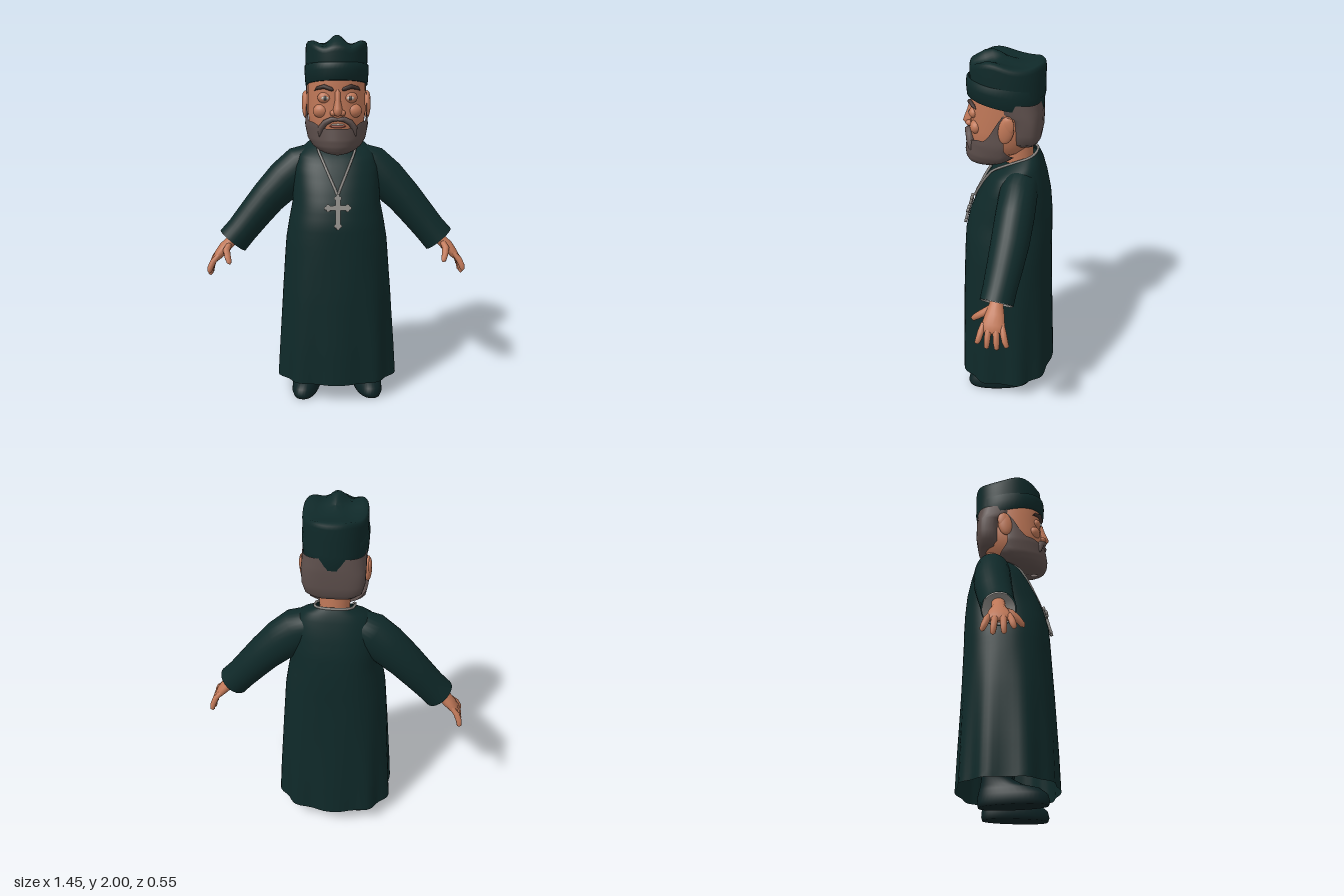
import * as THREE from 'three';

const mat = (name, color, side = THREE.FrontSide) => {
  const m = new THREE.MeshStandardMaterial({ color, side });
  m.name = name;
  return m;
};
const V = (x, y, z) => new THREE.Vector3(x, y, z);
const mix = THREE.MathUtils.lerp;
const DEG = Math.PI / 180;

// Smooth skin over rows of points (rows rise, points run from +z towards +x)
function skin(rows, closed = true) {
  const n = rows[0].length, idx = [];
  for (let i = 0; i < rows.length - 1; i++)
    for (let j = 0; j < (closed ? n : n - 1); j++) {
      const a = i * n + j, b = i * n + (j + 1) % n;
      idx.push(a, b, b + n, a, b + n, a + n);
    }
  const g = new THREE.BufferGeometry().setFromPoints(rows.flat());
  g.setIndex(idx);
  g.computeVertexNormals();
  return g;
}

// Point on a rounded-box ring: [y, half width, front z, back z, tilt]
function ringPoint([y, rx, zf, zb, tilt = 0], a, p = 2.2, s = 1) {
  const pw = v => Math.sign(v) * Math.pow(Math.abs(v), 2 / p);
  const rz = (zf - zb) / 2, dz = rz * pw(Math.cos(a)) * s;
  return V(rx * pw(Math.sin(a)) * s, y - tilt * dz, (zf + zb) / 2 + dz);
}
const loft = (rings, p = 2.2, n = 40) => skin(rings.map(r =>
  Array.from({ length: n }, (_, j) => ringPoint(r, j / n * 2 * Math.PI, p))));

// Key rows interpolated on their first value
function at(keys, y) {
  let i = 0;
  while (i < keys.length - 2 && y > keys[i + 1][0]) i++;
  const t = THREE.MathUtils.clamp((y - keys[i][0]) / (keys[i + 1][0] - keys[i][0]), 0, 1);
  return keys[i].map((v, k) => mix(v, keys[i + 1][k], t));
}

// Limb along points [x, y, z, radius across, radius in z]
function limb(path, s = 1, n = 16) {
  const pts = path.map(p => V(p[0] * s, p[1], p[2]));
  return skin(path.map((p, i) => {
    const T = pts[Math.min(i + 1, pts.length - 1)].clone().sub(pts[Math.max(i - 1, 0)]).normalize();
    const B = V(0, 0, 1).addScaledVector(T, -T.z).normalize(), N = B.clone().cross(T);
    return Array.from({ length: n }, (_, j) => {
      const a = j / n * 2 * Math.PI;
      return pts[i].clone().addScaledVector(N, p[3] * Math.cos(a)).addScaledVector(B, (p[4] ?? p[3]) * Math.sin(a));
    });
  }));
}

export function createModel() {
  const cloth = mat('dark green cloth', 0x0f2929, THREE.DoubleSide);
  const shoeMat = mat('shoe leather', 0x0d2224);
  const flesh = mat('skin', 0xc07858);
  const hairMat = mat('grey brown hair', 0x5c4e4b, THREE.DoubleSide);
  const browMat = mat('dark brow', 0x40322e);
  const silver = mat('silver', 0x8c8985, THREE.DoubleSide);
  const white = mat('eye white', 0xc9bfb4);
  const iris = mat('iris', 0x4b4a48);
  const lipMat = mat('lip', 0xa85c4c);

  const model = new THREE.Group();
  const add = (name, geo, m, parent = model) => {
    const mesh = new THREE.Mesh(geo, m);
    mesh.name = name;
    parent.add(mesh);
    return mesh;
  };
  const ball = (name, m, x, y, z, sx, sy, sz) => {
    const b = add(name, new THREE.SphereGeometry(1, 20, 14), m);
    b.position.set(x, y, z);
    b.scale.set(sx, sy, sz);
    return b;
  };

  // Robe with soft folds towards the hem
  const robe = [[0.11, .335, .268, -.262, 0], [0.3, .325, .265, -.257, 0], [0.6, .305, .255, -.247, 0],
    [0.9, .28, .24, -.24, 0], [1.0, .263, .234, -.24, 0], [1.1, .243, .212, -.237, 0], [1.2, .238, .175, -.228, .03],
    [1.3, .23, .13, -.205, .1], [1.38, .2, .088, -.178, .2], [1.415, .15, .045, -.163, .3], [1.435, .1, .02, -.15, .35]];
  const robeRows = [];
  for (let i = 0; i <= 40; i++) {
    const y = mix(.11, 1.435, i / 40), r = at(robe, y), f = .035 * Math.max(0, 1 - y / .8);
    robeRows.push(Array.from({ length: 72 }, (_, j) => {
      const a = j / 72 * 2 * Math.PI;
      return ringPoint(r, a, 2.4, 1 + f * Math.cos(10 * a));
    }));
  }
  add('robe', skin(robeRows), cloth);
  const frontZ = (x, y) => {
    let z = 0;
    for (let k = 0; k < 8; k++) {
      const [, rx, zf, zb, t] = at(robe, y), c = (zf + zb) / 2;
      const r = at(robe, y + t * (z - c));
      z = (r[2] + r[3]) / 2 + (r[2] - r[3]) / 2 * Math.pow(1 - Math.min(.999, Math.abs(x / r[1])) ** 2.4, 1 / 2.4);
    }
    return z;
  };

  // Chain around the collar and down the chest
  const strand = s => Array.from({ length: 9 }, (_, i) => {
    const x = .1 * i / 8, y = mix(1.17, 1.39, i / 8);
    return V(x * s, y, frontZ(x, y) + .006);
  });
  const collar = Array.from({ length: 9 }, (_, i) => ringPoint(robe[10], (90 + i * 22.5) * DEG, 2.4, 1.03));
  const loop = [...strand(1), ...collar, ...strand(-1).slice(1).reverse()];
  add('neckChain', new THREE.TubeGeometry(new THREE.CatmullRomCurve3(loop, true), 140, .007, 6, true), silver);

  // Pendant cross with rounded trefoil tips
  const cross = new THREE.Group();
  cross.name = 'pendantCross';
  cross.position.set(0, 1.105, frontZ(0, 1.105) + .01);
  cross.rotation.x = -.25;
  add('crossUpright', new THREE.BoxGeometry(.026, .16, .014), silver, cross).position.y = -.022;
  add('crossBar', new THREE.BoxGeometry(.115, .026, .014), silver, cross);
  for (const [x, y] of [[0, .052], [0, -.096], [.052, 0], [-.052, 0]])
    for (const [dx, dy] of [[1, 0], [-1, 0], [0, 1], [0, -1]]) {
      const tip = add('crossTip', new THREE.CylinderGeometry(.01, .01, .015, 10), silver, cross);
      tip.rotation.x = Math.PI / 2;
      tip.position.set(x + dx * .011, y + dy * .011, 0);
    }
  model.add(cross);

  for (const s of [1, -1]) {
    const side = s > 0 ? 'left' : 'right';
    // Sleeve and its lining
    add(side + 'Sleeve', limb([[.06, 1.345, -.075, .05, .07], [.12, 1.325, -.075, .09, .095], [.19, 1.285, -.075, .117, .1],
      [.28, 1.21, -.07, .113, .102], [.38, 1.11, -.06, .1, .1], [.46, 1.015, -.045, .093, .094],
      [.53, .93, -.03, .088, .088], [.582, .87, -.02, .09, .088]], s, 28), cloth);
    add(side + 'CuffLining', limb([[.53, .93, -.03, 0, 0], [.535, .925, -.03, .07, .07], [.584, .868, -.02, .084, .083]], s, 28), silver);
    // Hand with four fingers and a thumb
    add(side + 'Hand', limb([[.53, .93, -.025, .028, .034], [.59, .87, -.02, .03, .036], [.63, .83, -.018, .033, .05],
      [.665, .79, -.015, .026, .06], [.685, .765, -.015, .018, .055], [.692, .755, -.015, 0, 0]], s), flesh);
    [[.035, .06, .70], [.005, .012, .675], [-.03, -.04, .672], [-.06, -.09, .69]].forEach(([z0, z1, y]) =>
      add(side + 'Finger', limb([[.66, .8, z0, .012], [.69, .765, mix(z0, z1, .35), .017], [.706, mix(.765, y, .5), mix(z0, z1, .7), .016],
        [.71, y + .012, z1, .013], [.71, y, z1, 0]], s, 10), flesh));
    add(side + 'Thumb', limb([[.6, .86, 0, .015], [.615, .83, .04, .02], [.605, .8, .075, .018], [.595, .775, .098, .014],
      [.59, .765, .105, 0]], s, 10), flesh);
    // Shoe and lower leg
    const shoe = add(side + 'Shoe', loft([[0, 0, .02, .02], [0, .07, .18, -.17], [.02, .078, .187, -.175], [.055, .076, .178, -.172],
      [.085, .064, .14, -.166], [.105, .056, .06, -.16], [.14, .054, 0, -.155], [.5, .065, .01, -.165]], 2.3), shoeMat);
    shoe.position.set(.17 * s, 0, .03);
    shoe.rotation.y = .17 * s;
    // Ear, eye and brow
    ball(side + 'Ear', flesh, .166 * s, 1.632, -.008, .02, .075, .04).rotation.x = -.15;
    ball(side + 'EarLobeRim', flesh, .174 * s, 1.655, -.02, .012, .045, .03);
    ball(side + 'EyeSocket', flesh, .066 * s, 1.682, .172, .038, .03, .026);
    ball(side + 'Eye', white, .066 * s, 1.681, .182, .025, .015, .019);
    ball(side + 'Iris', iris, .066 * s, 1.681, .194, .011, .012, .009);
    ball(side + 'Cheek', flesh, .083 * s, 1.612, .158, .045, .038, .035);
    add(side + 'Brow', limb([[.02, 1.72, .204, 0, 0], [.03, 1.726, .203, .01, .01], [.07, 1.74, .192, .012, .012],
      [.105, 1.73, .168, .009, .01], [.122, 1.715, .15, 0, 0]], s, 10), browMat);
    // Half of the moustache
    add(side + 'Moustache', limb([[0, 1.572, .21, .008, .012], [.03, 1.574, .213, .014, .018], [.065, 1.556, .2, .016, .02],
      [.088, 1.525, .19, .016, .022], [.095, 1.49, .19, .006, .01], [.096, 1.48, .19, 0, 0]], s, 12), hairMat);
    ball(side + 'Nostril', flesh, .024 * s, 1.605, .207, .017, .016, .02);
  }

  // Neck and head
  add('neck', limb([[0, 1.34, -.05, .085, .082], [0, 1.43, -.05, .08, .08], [0, 1.58, -.04, .085, .085]], 1, 28), flesh);
  add('head', loft([[1.42, 0, .1, .06], [1.425, .06, .14, 0], [1.47, .115, .185, -.08], [1.53, .145, .202, -.14], [1.6, .155, .203, -.16],
    [1.68, .154, .196, -.165], [1.74, .155, .2, -.165], [1.8, .15, .195, -.16]]), flesh);
  add('nose', loft([[1.588, 0, .21, .2], [1.592, .018, .23, .17], [1.61, .026, .245, .16], [1.63, .023, .238, .16],
    [1.67, .015, .222, .16], [1.71, .016, .21, .16], [1.74, 0, .19, .16]], 2, 20), flesh);
  ball('mouth', lipMat, 0, 1.537, .203, .042, .009, .014);
  ball('teeth', white, 0, 1.545, .204, .034, .005, .013);

  // Hair on the back of the head, with short sideburns
  add('hair', loft([[1.515, 0, -.09, -.13, .1], [1.52, .11, -.045, -.155, .1], [1.545, .146, -.03, -.172, .1], [1.6, .161, -.03, -.18],
    [1.68, .164, -.02, -.18], [1.71, .163, .06, -.18], [1.76, .16, .08, -.175]], 3), hairMat);

  // Full beard: upper edge climbs from the mouth to the ears
  const beard = [[1.38, .012, .175, .15], [1.388, .06, .2, .125], [1.4, .095, .217, .1], [1.425, .132, .229, .06], [1.46, .156, .233, .03],
    [1.53, .17, .224, .02], [1.6, .164, .212, .02], [1.72, .16, .205, .02]];
  const beardRows = [];
  for (let i = 0; i <= 20; i++)
    beardRows.push(Array.from({ length: 49 }, (_, j) => {
      const u = j / 24 - 1, v = i / 20, w = Math.abs(u);
      const top = 1.525 + .03 * THREE.MathUtils.smoothstep(w, .2, .55) + .15 * THREE.MathUtils.smoothstep(w, .6, 1);
      const [y, rx, zf, z0] = at(beard, mix(1.38, top, v));
      const a = u * mix(180, 98, THREE.MathUtils.smoothstep(v, 0, .45)) * DEG;
      const back = Math.cos(a) < 0 ? .5 : 1;
      return V(rx * Math.sin(a), y, z0 + (zf - z0) * Math.cos(a) * back);
    }));
  add('beard', skin(beardRows, false), hairMat);

  // Soft cap: tilted band, upright crown and a dented, peaked top
  add('capBand', loft([[1.737, .15, .198, -.168, -.19], [1.737, .166, .216, -.181, -.19], [1.8, .17, .22, -.184, -.15],
    [1.84, .169, .217, -.185, -.1], [1.846, .158, .206, -.178, -.1]], 2.2, 56), cloth);
  const topY = (x, z) => 1.937 + .033 * Math.exp(-(((z - .08) / .09) ** 2))
    + .03 * Math.exp(-((x / .04) ** 2) - ((z - .1) / .08) ** 2) + .016 * Math.exp(-(((z + .17) / .045) ** 2))
    - .02 * Math.exp(-(((Math.abs(x) - .07) / .03) ** 2) - ((z - .08) / .12) ** 2);
  const capRows = [[1.78, 1], [1.86, 1], [0, 1.0, .03], [0, .985, .012], [0, .94, .002], [0, .8, 0], [0, .6, 0], [0, .4, 0], [0, .2, 0], [0, 0, 0]]
    .map(([y, s, drop]) => Array.from({ length: 56 }, (_, j) => {
      const p = ringPoint([y, .164, .2, -.188, 0], j / 56 * 2 * Math.PI, 2.2, s);
      if (y === 0) p.y = topY(p.x, p.z) - drop;
      return p;
    }));
  add('capCrown', skin(capRows), cloth);

  return model;
}
